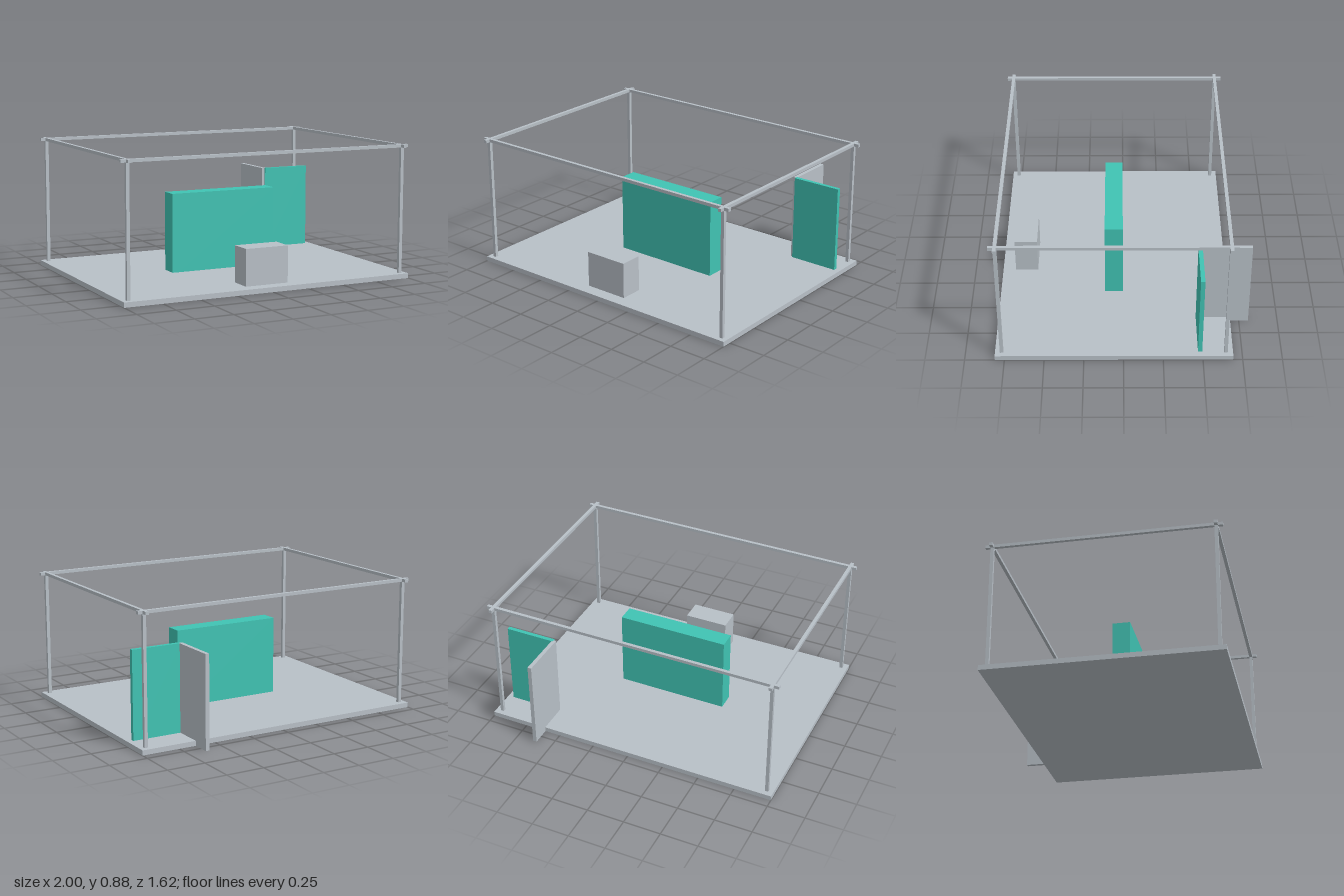
import * as THREE from 'three';

export function createModel() {
  const model = new THREE.Group();
  model.name = 'exhibitionBooth';

  const grey = new THREE.MeshStandardMaterial({ color: 0xb8c0c7 });
  grey.name = 'light grey';
  const teal = new THREE.MeshStandardMaterial({ color: 0x40c3b3 });
  teal.name = 'teal';

  // Box given by its limits along each axis
  function box(name, material, [x0, x1], [y0, y1], [z0, z1]) {
    const geometry = new THREE.BoxGeometry(x1 - x0, y1 - y0, z1 - z0);
    const mesh = new THREE.Mesh(geometry, material);
    mesh.name = name;
    mesh.position.set((x0 + x1) / 2, (y0 + y1) / 2, (z0 + z1) / 2);
    model.add(mesh);
    return mesh;
  }

  const front = 0.81, back = -0.69;
  const floorTop = 0.032, beamBottom = 0.855, beamTop = 0.875;
  const half = 0.011;
  const around = (c) => [c - half, c + half];

  // Floor slab
  box('floor', grey, [-1, 1], [0, floorTop], [back, front]);

  // Frame: corner posts and crossing top beams
  const postX = 0.957;
  const postZ = [['front', 0.768], ['back', -0.645]];
  for (const [end, z] of postZ) {
    for (const side of [-1, 1]) {
      box(end + (side > 0 ? 'LeftPost' : 'RightPost'), grey,
        around(side * postX), [floorTop, beamBottom], around(z));
    }
    box(end + 'Beam', grey, [-1, 1], [beamBottom, beamTop], around(z));
  }
  for (const side of [-1, 1]) {
    box(side > 0 ? 'leftBeam' : 'rightBeam', grey,
      around(side * postX), [beamBottom, beamTop], [back, front]);
  }

  // Central display wall
  box('displayWall', teal, [-0.373, 0.373], [0.001, 0.552], [0.003, 0.12]);

  // Reception counter
  box('counter', grey, [-0.148, 0.148], [0.001, 0.27], [0.575, 0.725]);

  // Storage corner: teal wall and the grey panel running out behind it
  box('storageWall', teal, [0.627, 0.962], [0.001, 0.604], [-0.496, -0.469]);
  box('storagePanel', grey, [0.608, 0.634], [0, 0.604], [-0.81, -0.482]);

  return model;
}
